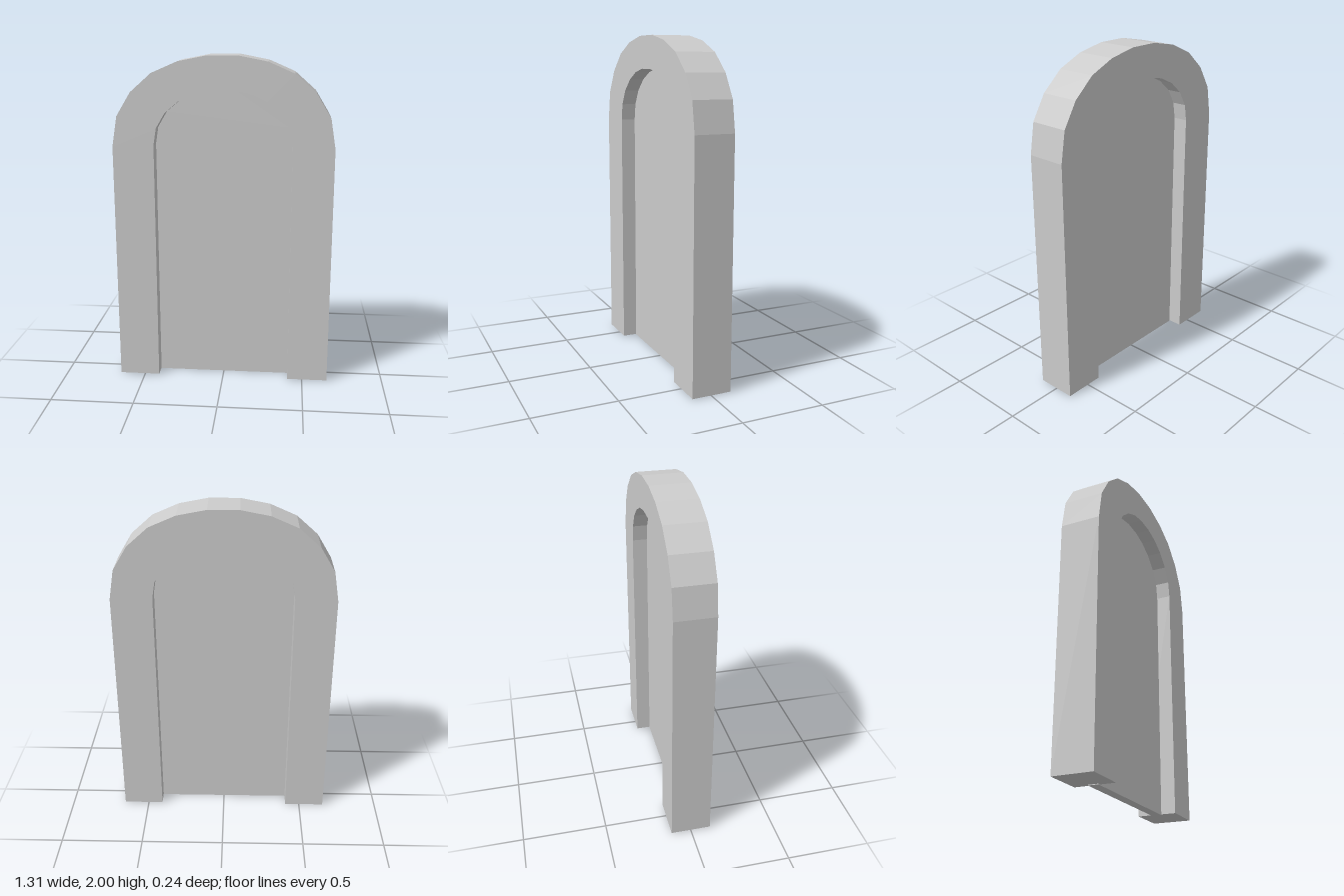
import * as THREE from 'three';

// Half profiles of the arch, from springing line to crown, as [x, y]
const OUTER = [[0.655, 1.47], [0.625, 1.65], [0.54, 1.79], [0.415, 1.9], [0.26, 1.967], [0.09, 2]];
const INNER = [[0.409, 1.48], [0.393, 1.58], [0.34, 1.67], [0.258, 1.74], [0.16, 1.786], [0.06, 1.807]];
const FRAME_BASE = 0.004;

// Full arched outline, from the +x foot over the crown to the -x foot
function archPoints(half, base) {
  const right = [[half[0][0], base], ...half];
  const left = right.map(([x, y]) => [-x, y]).reverse();
  return [...right, ...left].map(([x, y]) => new THREE.Vector2(x, y));
}

// Extrude an outline to a slab centred on z = 0
function slab(name, points, depth, material) {
  const geometry = new THREE.ExtrudeGeometry(new THREE.Shape(points), { depth, bevelEnabled: false });
  geometry.translate(0, 0, -depth / 2);
  const mesh = new THREE.Mesh(geometry, material);
  mesh.name = name;
  return mesh;
}

export function createModel() {
  const group = new THREE.Group();
  group.name = 'archedDoorway';
  const material = new THREE.MeshStandardMaterial({ color: 0xcccccc, flatShading: true });

  // Thick surround, open at the bottom
  const surround = [...archPoints(OUTER, FRAME_BASE), ...archPoints(INNER, FRAME_BASE).reverse()];
  group.add(slab('doorFrame', surround, 0.24, material));

  // Thin door set midway in the frame, its -x edge let slightly into the jamb
  const panel = archPoints(INNER, 0).map((p) => (p.x < -0.4 ? new THREE.Vector2(-0.43, p.y) : p));
  group.add(slab('doorPanel', panel, 0.06, material));

  return group;
}
